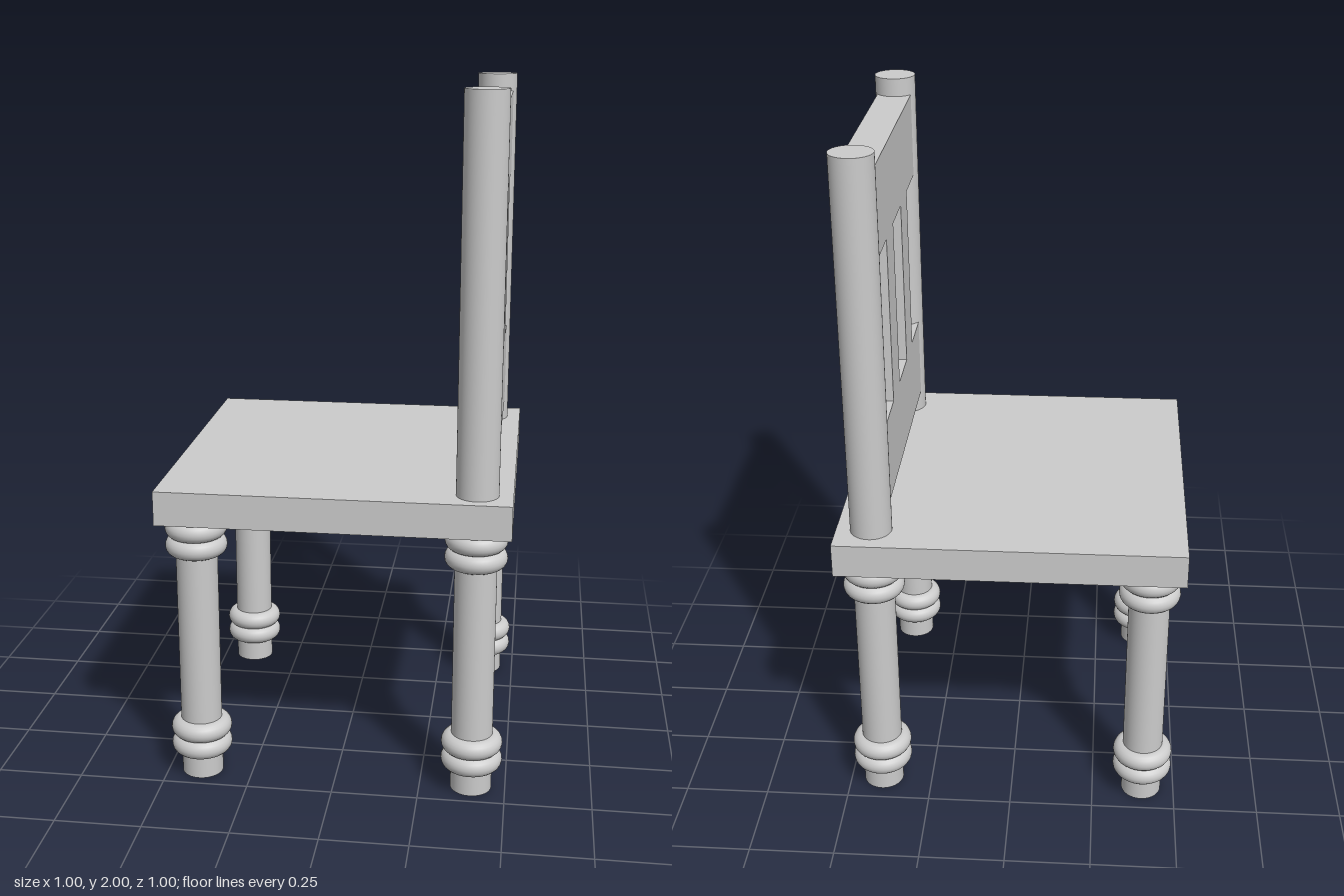
import * as THREE from 'three';

export function createModel() {
  const chair = new THREE.Group();
  chair.name = 'chair';
  const material = new THREE.MeshStandardMaterial({ color: 0xcccccc });

  const add = (name, geometry, x, y, z, parent = chair) => {
    const mesh = new THREE.Mesh(geometry, material);
    mesh.name = name;
    mesh.position.set(x, y, z);
    parent.add(mesh);
    return mesh;
  };

  const postRadius = 0.06;
  const seatBottom = 0.8, seatTop = 0.9, backTop = 2;
  const backX = 0.4, backZ = -0.4, frontZ = 0.41;

  // Seat
  add('seat', new THREE.BoxGeometry(1, seatTop - seatBottom, 1), 0, (seatBottom + seatTop) / 2, 0);

  // Turned legs, each with a pair of rings at the top and at the foot
  const legGeometry = new THREE.CylinderGeometry(postRadius, postRadius, seatBottom, 48);
  const ringGeometry = new THREE.TorusGeometry(postRadius, 0.029, 20, 48).rotateX(Math.PI / 2);
  for (const x of [-backX, backX]) {
    for (const z of [backZ, frontZ]) {
      const leg = new THREE.Group();
      leg.name = 'leg';
      leg.position.set(x, 0, z);
      add('legPost', legGeometry, 0, seatBottom / 2, 0, leg);
      for (const y of [0.094, 0.147, 0.718, 0.771]) add('legRing', ringGeometry, 0, y, 0, leg);
      chair.add(leg);
    }
  }

  // Backrest posts
  const postHeight = backTop - seatTop;
  const postGeometry = new THREE.CylinderGeometry(postRadius, postRadius, postHeight, 48);
  for (const z of [backZ, frontZ]) add('backPost', postGeometry, backX, seatTop + postHeight / 2, z);

  // Backrest rails, running into both posts
  const thickness = 0.1;
  const railGeometry = new THREE.BoxGeometry(thickness, 0.247, frontZ - backZ);
  for (const y of [1.088, 1.824]) add('backRail', railGeometry, backX, y, (frontZ + backZ) / 2);

  // Upright slats between the rails
  const slatGeometry = new THREE.BoxGeometry(thickness, 0.49, 0.13);
  for (const z of [-0.14, 0.148]) add('backSlat', slatGeometry, backX, 1.456, z);

  return chair;
}
